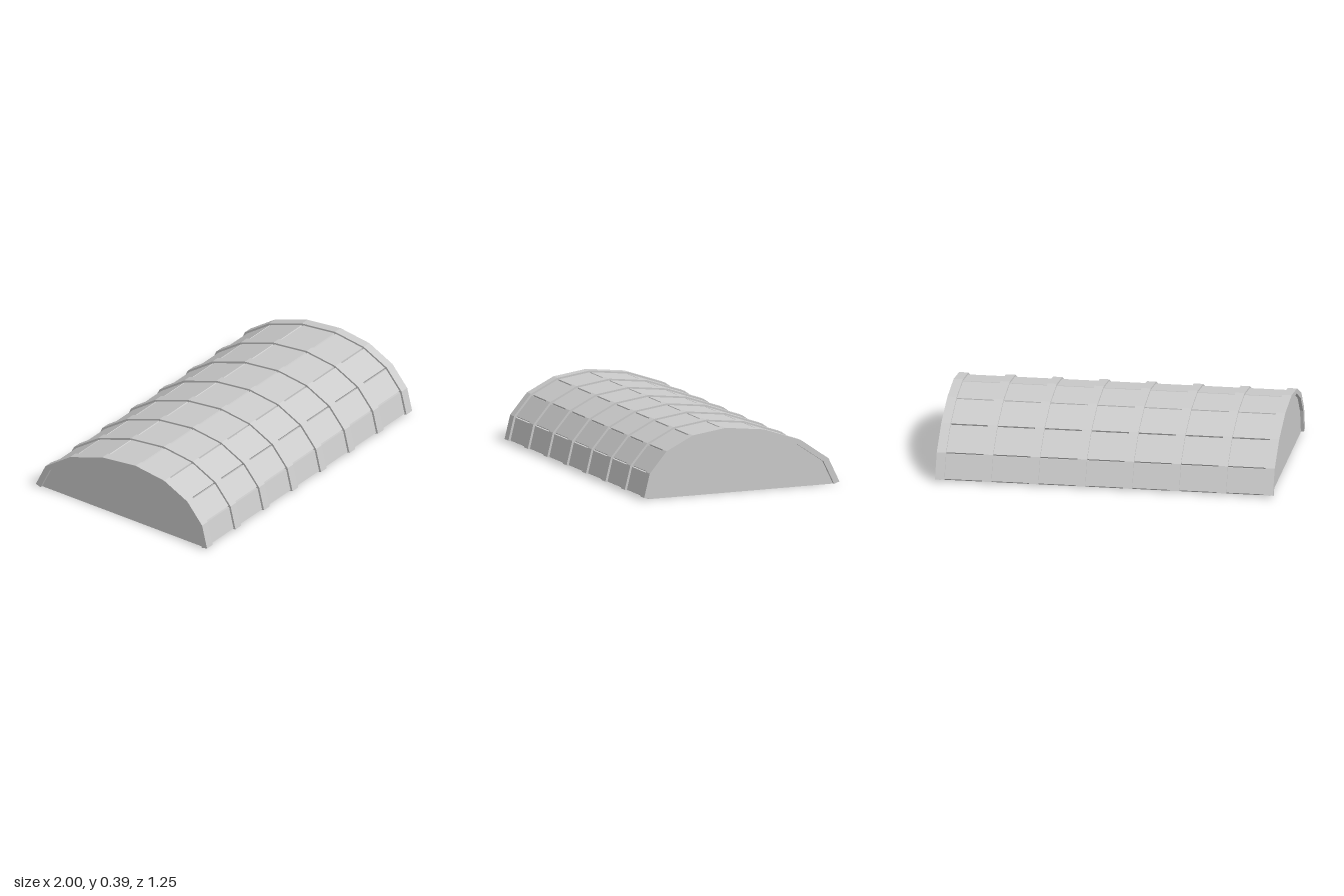
import * as THREE from 'three';

// Asymmetric arch profiles as [z, y], from the front eave over to the back eave
const OUTER = [[0.626, 0.013], [0.59, 0.155], [0.482, 0.28], [0.313, 0.362], [0.103, 0.39],
  [-0.14, 0.362], [-0.378, 0.28], [-0.556, 0.157], [-0.626, 0.013]];
const INNER = [[0.588, 0.004], [0.555, 0.143], [0.455, 0.257], [0.301, 0.334], [0.103, 0.36],
  [-0.13, 0.334], [-0.355, 0.257], [-0.524, 0.141], [-0.592, 0.002]];

const RIBS = 8;
const RIB_WIDTH = 0.055;
const PITCH = (2 - RIB_WIDTH) / (RIBS - 1);

const mix = (a, b, t) => [a[0] + (b[0] - a[0]) * t, a[1] + (b[1] - a[1]) * t];

// Extrudes a [z, y] outline along x, centred on x = 0
function extrudeAlongX(points, width) {
  const shape = new THREE.Shape(points.map(([z, y]) => new THREE.Vector2(z, y)));
  const geometry = new THREE.ExtrudeGeometry(shape, { depth: width, bevelEnabled: false });
  geometry.translate(0, 0, -width / 2);
  geometry.rotateY(-Math.PI / 2);
  return geometry;
}

export function createModel() {
  const model = new THREE.Group();
  model.name = 'archedRoof';
  const material = new THREE.MeshStandardMaterial({ color: 0xcccccc, flatShading: true });

  function add(name, geometry, x) {
    const mesh = new THREE.Mesh(geometry, material);
    mesh.name = name;
    mesh.position.x = x;
    model.add(mesh);
  }

  // Arched ribs
  const ribGeometry = extrudeAlongX([...OUTER, ...[...INNER].reverse()], RIB_WIDTH);
  for (let i = 0; i < RIBS; i++) add('rib', ribGeometry, -1 + RIB_WIDTH / 2 + i * PITCH);

  // Flat roof panels between the ribs, with a narrow groove at each joint
  const top = OUTER.map((p, i) => mix(p, INNER[i], 0.35));
  const under = OUTER.map((p, i) => mix(p, INNER[i], 0.75));
  for (let s = 0; s < OUTER.length - 1; s++) {
    const length = Math.hypot(top[s + 1][0] - top[s][0], top[s + 1][1] - top[s][1]);
    const inset = 0.005 / length;
    const panelGeometry = extrudeAlongX([
      mix(top[s], top[s + 1], inset),
      mix(top[s], top[s + 1], 1 - inset),
      under[s + 1],
      under[s],
    ], PITCH - RIB_WIDTH);
    for (let b = 0; b < RIBS - 1; b++) {
      add('roofPanel', panelGeometry, -1 + RIB_WIDTH / 2 + (b + 0.5) * PITCH);
    }
  }

  // Gable walls set just inside the end ribs
  const gableOutline = INNER.map((p, i) => mix(p, OUTER[i], 0.1));
  gableOutline[0] = [0.59, 0];
  gableOutline[gableOutline.length - 1] = [-0.594, 0];
  const gableGeometry = extrudeAlongX(gableOutline, 0.012);
  for (const side of [-1, 1]) add('gableWall', gableGeometry, side * 0.975);

  return model;
}
